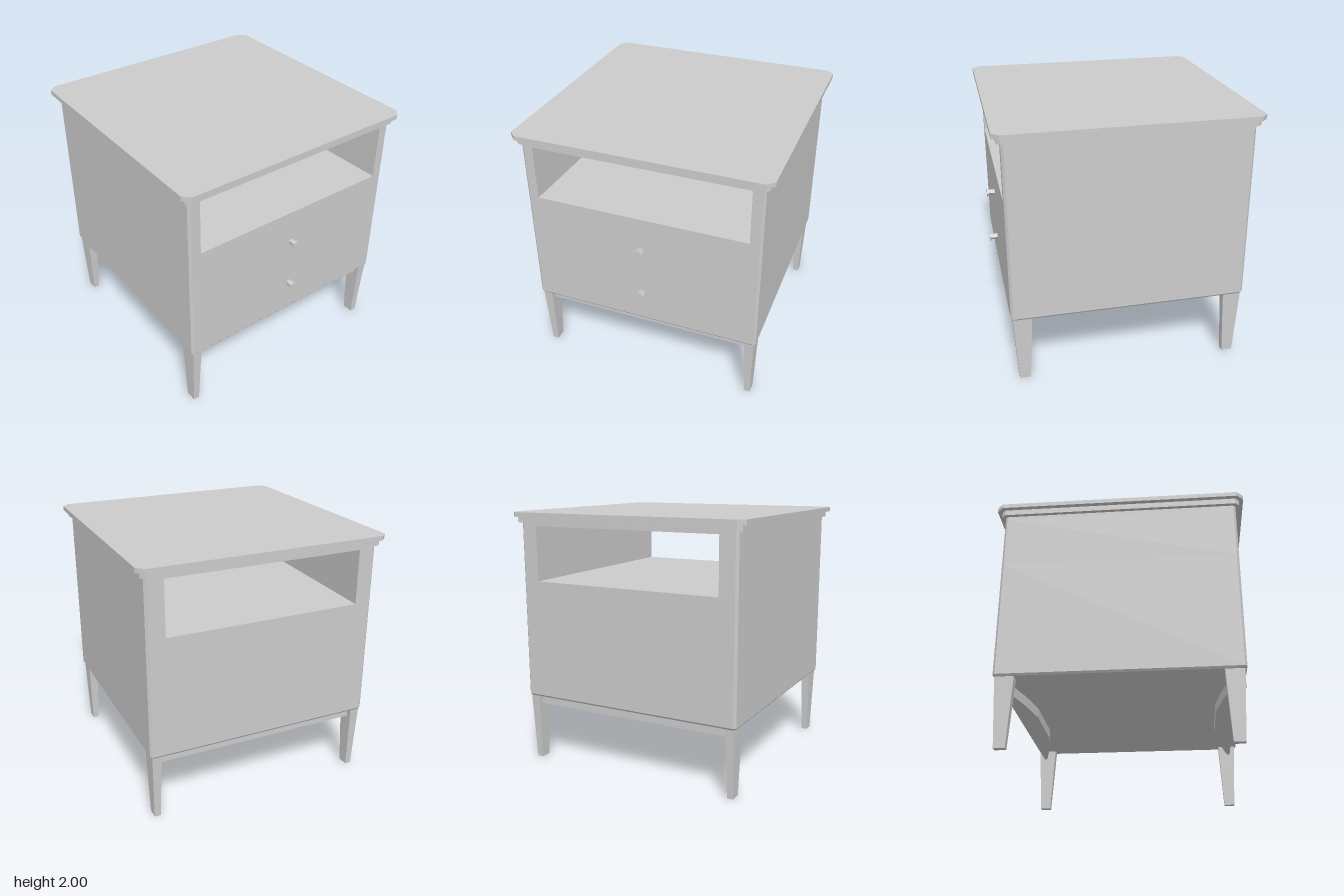
import * as THREE from 'three';

const material = new THREE.MeshStandardMaterial({ color: 0xcccccc, flatShading: true });

function addMesh(parent, name, geometry) {
  const mesh = new THREE.Mesh(geometry, material);
  mesh.name = name;
  parent.add(mesh);
  return mesh;
}

// Plan outline given as [x, z] points, raised from y0 to y1
function prism(points, y0, y1) {
  const shape = new THREE.Shape(points.map(([x, z]) => new THREE.Vector2(x, -z)));
  const geometry = new THREE.ExtrudeGeometry(shape, { depth: y1 - y0, bevelEnabled: false });
  return geometry.rotateX(-Math.PI / 2).translate(0, y0, 0);
}

// Square outline with cut corners
function cutSquare(h, c) {
  return [
    [h, h - c], [h - c, h], [c - h, h], [-h, h - c],
    [-h, c - h], [c - h, -h], [h - c, -h], [h, c - h],
  ];
}

// Scale the vertices below a height towards a centre
function taper(geometry, limit, sx, sz) {
  const p = geometry.attributes.position;
  for (let i = 0; i < p.count; i++) {
    if (p.getY(i) < limit) p.setXYZ(i, p.getX(i) * sx, p.getY(i), p.getZ(i) * sz);
  }
  geometry.computeVertexNormals();
  return geometry;
}

export function createModel() {
  const group = new THREE.Group();
  group.name = 'nightstand';
  const H = 0.91, C = 0.018;

  // Two-step top
  addMesh(group, 'topBoard', prism(cutSquare(0.972, 0.052), 1.965, 2));
  addMesh(group, 'topMoulding', prism(cutSquare(0.938, 0.03), 1.92, 1.965));

  // Cabinet: bevelled base, drawer block, and lintel above the open shelf
  addMesh(group, 'cabinetBase', taper(prism(cutSquare(H, C), 0.535, 0.55), 0.54, 0.988, 0.988));
  addMesh(group, 'drawerBlock', prism(cutSquare(H, C), 0.55, 1.47));
  addMesh(group, 'shelfLintel', prism(cutSquare(H, C), 1.895, 1.92));

  // Shelf sides, narrowing the opening towards the back
  for (const s of [1, -1]) {
    const side = [[0.82, H], [H - C, H], [H, H - C], [H, C - H], [H - C, -H], [0.77, -H]];
    addMesh(group, s > 0 ? 'leftShelfSide' : 'rightShelfSide',
      prism(side.map(([x, z]) => [x * s, z]), 1.47, 1.895));
  }

  // Drawer knobs: five-sided stem with a wider cap
  for (const y of [0.8, 1.2]) {
    const knob = new THREE.Group();
    knob.name = y > 1 ? 'upperKnob' : 'lowerKnob';
    for (const [name, r, z0, z1] of [['stem', 0.025, 0.905, 0.962], ['cap', 0.037, 0.962, 0.972]]) {
      const geometry = new THREE.CylinderGeometry(r, r, z1 - z0, 5);
      geometry.rotateX(Math.PI / 2).rotateZ(Math.PI / 2).translate(0, y, (z0 + z1) / 2);
      addMesh(knob, name, geometry);
    }
    group.add(knob);
  }

  // Tapered legs
  for (const sx of [1, -1]) {
    for (const sz of [1, -1]) {
      const geometry = taper(new THREE.BoxGeometry(0.073, 0.535, 0.143), 0, 0.66, 0.59);
      const leg = addMesh(group, (sz > 0 ? 'front' : 'back') + (sx > 0 ? 'Left' : 'Right') + 'Leg', geometry);
      leg.position.set(sx * 0.858, 0.2675, sz * 0.824);
    }
  }

  // Rails between the legs, bowed inwards at the middle
  const bow = [
    [-0.83, 0.85], [0.83, 0.85], [0.83, 0.83], [0.5, 0.745],
    [0.25, 0.7], [-0.25, 0.7], [-0.5, 0.745], [-0.83, 0.83],
  ];
  for (const s of [1, -1]) {
    addMesh(group, s > 0 ? 'frontRail' : 'backRail', prism(bow.map(([x, z]) => [x, z * s]), 0.46, 0.535));
  }

  return group;
}
